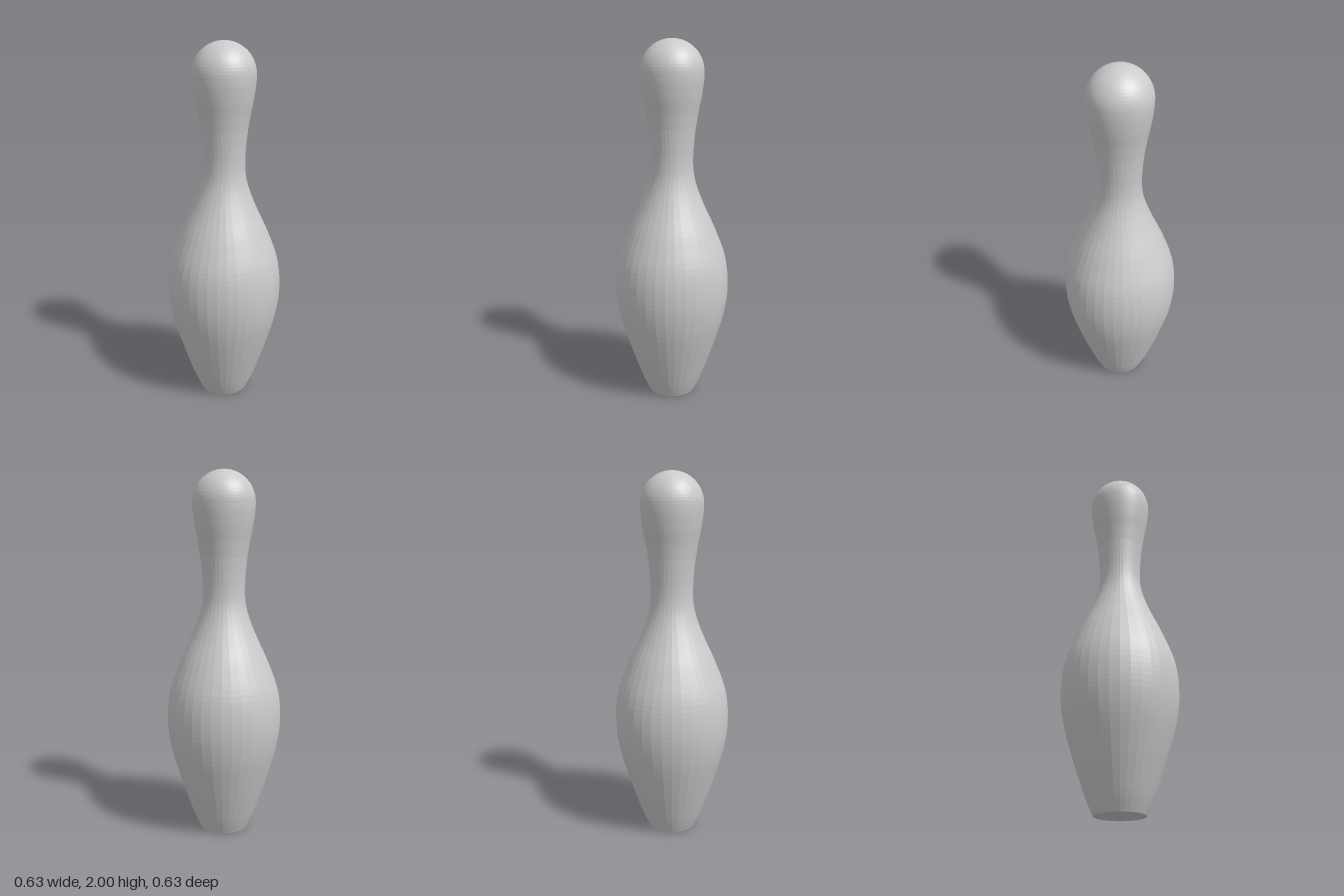
import * as THREE from 'three';

const material = new THREE.MeshStandardMaterial({ color: 0xcccccc, flatShading: true });

// Smooth run of [radius, height] profile points
function curve(points, divisions) {
  return new THREE.SplineCurve(points.map(([r, y]) => new THREE.Vector2(r, y))).getPoints(divisions);
}

function turned(name, profile, sides) {
  const mesh = new THREE.Mesh(new THREE.LatheGeometry(profile, sides), material);
  mesh.name = name;
  return mesh;
}

export function createModel() {
  const group = new THREE.Group();
  group.name = 'bowlingPin';

  // Flat foot, swelling belly and narrow neck, with visible facets around
  const body = [
    new THREE.Vector2(0, 0),
    ...curve([
      [0.135, 0], [0.178, 0.1], [0.247, 0.3], [0.298, 0.48], [0.317, 0.64], [0.302, 0.8],
      [0.246, 0.96], [0.182, 1.1], [0.142, 1.2], [0.121, 1.28], [0.115, 1.36], [0.119, 1.45], [0.128, 1.54],
    ], 60),
  ];
  group.add(turned('body', body, 36));

  // Flared upper neck closed by a rounded head, finer around
  const head = curve([[0.128, 1.54], [0.141, 1.62], [0.157, 1.7], [0.168, 1.78], [0.17, 1.83]], 16);
  for (let i = 1; i <= 16; i++) {
    const a = (i / 16) * Math.PI / 2;
    head.push(new THREE.Vector2(i === 16 ? 0 : 0.17 * Math.cos(a), 1.83 + 0.17 * Math.sin(a)));
  }
  group.add(turned('head', head, 72));

  return group;
}
